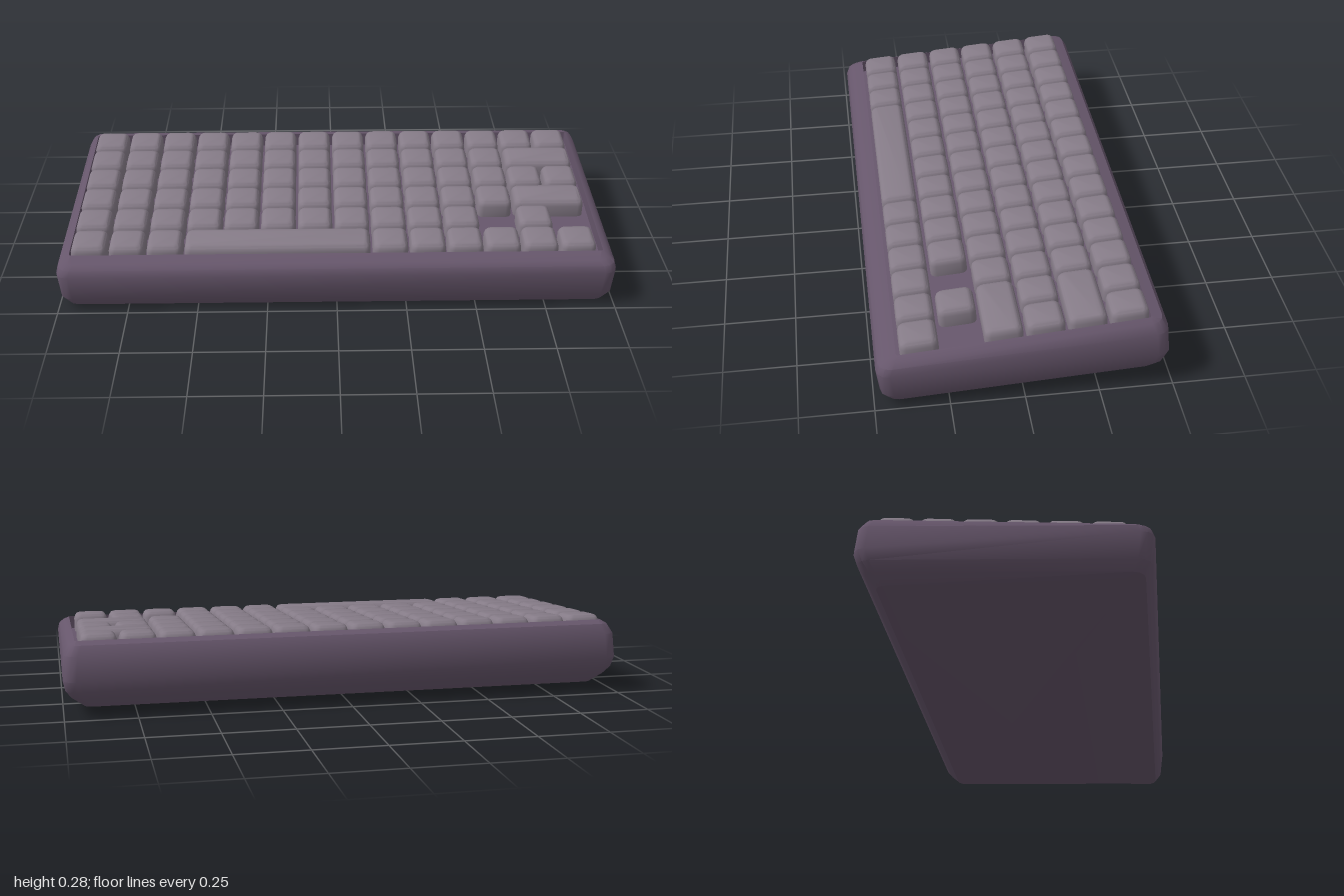
import * as THREE from 'three';
import { toCreasedNormals } from 'three/addons/utils/BufferGeometryUtils.js';

const SLOPE = 0.08; // typing angle, rise towards the back

// Rounded rectangle ring; height runs linearly from the front edge to the back edge
function ring(hx, zf, yf, zb, yb, r, seg = 3) {
  const pts = [];
  const corners = [[hx - r, zb + r], [-hx + r, zb + r], [-hx + r, zf - r], [hx - r, zf - r]];
  corners.forEach(([cx, cz], c) => {
    for (let i = 0; i <= seg; i++) {
      const a = (c + i / seg) * Math.PI / 2;
      const z = cz - r * Math.sin(a);
      pts.push([cx + r * Math.cos(a), yf + (yb - yf) * (zf - z) / (zf - zb), z]);
    }
  });
  return pts;
}

// Skin a stack of rings and close both ends
function loft(rings, crease) {
  const n = rings[0].length;
  const pos = rings.flat(2);
  const index = [];
  for (let k = 0; k < rings.length - 1; k++) {
    for (let i = 0; i < n; i++) {
      const j = (i + 1) % n, a = k * n, b = a + n;
      index.push(a + i, a + j, b + j, a + i, b + j, b + i);
    }
  }
  const last = (rings.length - 1) * n;
  for (let i = 1; i < n - 1; i++) {
    index.push(0, i + 1, i, last, last + i, last + i + 1);
  }
  const g = new THREE.BufferGeometry();
  g.setAttribute('position', new THREE.Float32BufferAttribute(pos, 3));
  g.setIndex(index);
  return toCreasedNormals(g, crease);
}

// Keycap with straight skirt, soft shoulder and flat top; origin at the top centre
function keycap(w, d) {
  const layers = [[0, -0.068], [0, -0.024], [0.005, -0.01], [0.011, -0.003], [0.02, 0]];
  return loft(layers.map(([inset, y]) =>
    ring(w / 2 - inset, d / 2 - inset, y, -d / 2 + inset, y, 0.022 - inset * 0.4)), 0.7);
}

export function createModel() {
  const model = new THREE.Group();
  const caseMat = new THREE.MeshStandardMaterial({ color: 0x66566b });
  const keyMat = new THREE.MeshStandardMaterial({ color: 0x857b87 });

  // Wedge case: underside, rounded walls, rim, then down into the key well
  const body = new THREE.Mesh(loft([
    ring(0.93, 0.41, 0.0, -0.42, 0.028, 0.03),
    ring(0.97, 0.455, 0.01, -0.452, 0.062, 0.04),
    ring(0.992, 0.478, 0.045, -0.475, 0.092, 0.045),
    ring(1.0, 0.49, 0.14, -0.488, 0.13, 0.045),
    ring(0.993, 0.482, 0.165, -0.48, 0.218, 0.045),
    ring(0.975, 0.465, 0.18, -0.46, 0.252, 0.04),
    ring(0.955, 0.42, 0.193, -0.42, 0.261, 0.008),
    ring(0.955, 0.42, 0.143, -0.42, 0.211, 0.008),
  ], 0.6), caseMat);
  body.name = 'case';
  model.add(body);

  // Key widths per row from back to front; negative values leave a space
  const ones = (n) => Array(n).fill(1);
  const rows = [
    ones(14),
    [...ones(12), 2],
    ones(14),
    [...ones(12), 2],
    [...ones(11), -1, 1, -1],
    [...ones(3), 5, ...ones(6)],
  ];
  const pitchX = 0.1355, pitchZ = 0.14, gap = 0.009;
  const caps = {};
  rows.forEach((row, r) => {
    const group = new THREE.Group();
    group.name = `keyRow${r + 1}`;
    const z = -0.355 + r * pitchZ;
    let x = -0.957;
    row.forEach((units) => {
      const w = Math.abs(units) * pitchX;
      if (units > 0) {
        caps[units] ??= keycap(w - gap, 0.13);
        const key = new THREE.Mesh(caps[units], keyMat);
        key.name = units === 5 ? 'spaceBar' : units === 2 ? 'wideKey' : 'key';
        key.position.set(x + w / 2, 0.247 - SLOPE * z, z);
        key.rotation.x = Math.atan(SLOPE);
        group.add(key);
      }
      x += w;
    });
    model.add(group);
  });
  return model;
}
